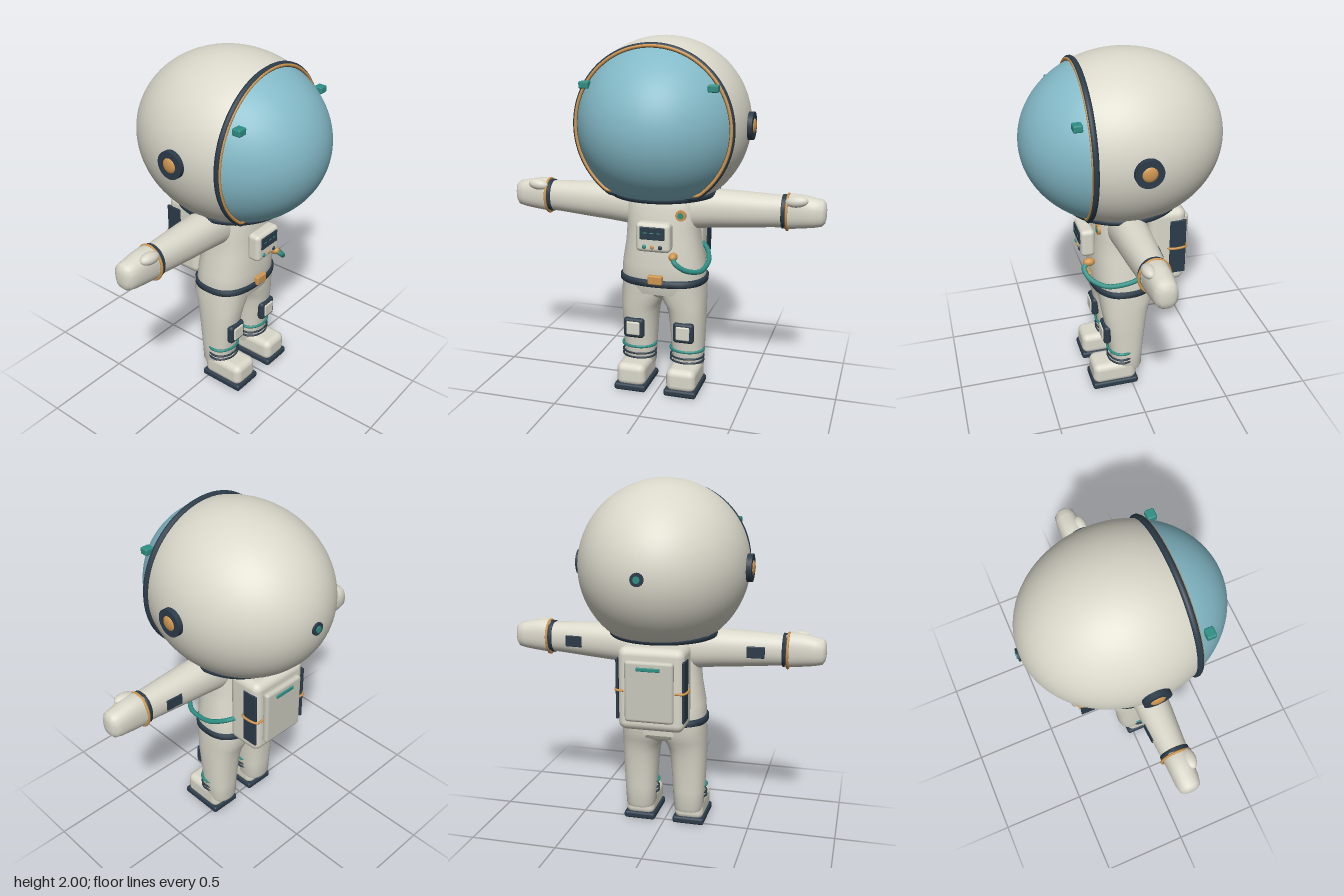
import * as THREE from 'three';
import { toCreasedNormals } from 'three/addons/utils/BufferGeometryUtils.js';
import { RoundedBoxGeometry } from 'three/addons/geometries/RoundedBoxGeometry.js';

export function createModel() {
  const root = new THREE.Group();
  root.name = 'astronaut';
  const mat = (name, color) => {
    const m = new THREE.MeshStandardMaterial({ color });
    m.name = name;
    return m;
  };
  const cream = mat('suitCream', 0xdad8ca);
  const grey = mat('panelGrey', 0xc9c8bc);
  const navy = mat('navyTrim', 0x2c3c4a);
  const teal = mat('tealAccent', 0x2f8f84);
  const orange = mat('orangeAccent', 0xcf9650);
  const blue = mat('visorBlue', 0x83b9c7);

  const add = (name, geo, material, x = 0, y = 0, z = 0) => {
    const m = new THREE.Mesh(geo, material);
    m.name = name;
    m.position.set(x, y, z);
    root.add(m);
    return m;
  };
  const box = (w, h, d, r) => new RoundedBoxGeometry(w, h, d, 3, r);
  const ball = (x, y, z) => new THREE.SphereGeometry(1, 24, 16).scale(x, y, z);
  const discX = (r, t) => new THREE.CylinderGeometry(r, r, t, 32).rotateZ(Math.PI / 2);
  const discZ = (r, t) => new THREE.CylinderGeometry(r, r, t, 24).rotateX(Math.PI / 2);
  const V = (x, y, z) => new THREE.Vector3(x, y, z);
  const tube = (pts, r, closed = false, n = 96) =>
    new THREE.TubeGeometry(new THREE.CatmullRomCurve3(pts, closed), n, r, 10, closed);

  // Closed loft through superellipse sections [t, uMin, uMax, vMin, vMax].
  // axis 'y': t=y, u=x, v=z.  axis 'x': t=x, u=z, v=y.  side -1 mirrors in x.
  function loft(rows, axis = 'y', side = 1, power = 2.5, n = 40) {
    const pos = [], idx = [];
    const put = (t, u, v) => (axis === 'y' ? pos.push(u * side, t, v) : pos.push(t * side, v, u));
    const tri = (a, b, c) => (side > 0 ? idx.push(a, b, c) : idx.push(a, c, b));
    const bend = (c) => Math.sign(c) * Math.abs(c) ** (2 / power);
    for (const [t, u0, u1, v0, v1] of rows) {
      for (let i = 0; i < n; i++) {
        const a = (i / n) * Math.PI * 2;
        put(t, (u0 + u1) / 2 + ((u1 - u0) / 2) * bend(Math.cos(a)),
          (v0 + v1) / 2 + ((v1 - v0) / 2) * bend(Math.sin(a)));
      }
    }
    for (let r = 0; r < rows.length - 1; r++) {
      for (let i = 0; i < n; i++) {
        const a = r * n + i, b = r * n + ((i + 1) % n);
        tri(a, a + n, b + n);
        tri(a, b + n, b);
      }
    }
    for (const [r, top] of [[0, false], [rows.length - 1, true]]) {
      const [t, u0, u1, v0, v1] = rows[r], c = pos.length / 3;
      put(t, (u0 + u1) / 2, (v0 + v1) / 2);
      for (let i = 0; i < n; i++) {
        const a = r * n + i, b = r * n + ((i + 1) % n);
        top ? tri(c, b, a) : tri(c, a, b);
      }
    }
    const g = new THREE.BufferGeometry();
    g.setAttribute('position', new THREE.Float32BufferAttribute(pos, 3));
    g.setIndex(idx);
    return toCreasedNormals(g, 0.9);
  }

  // Helmet shell and visor: one ellipsoid split at the rim, flat at the neck
  const CY = 1.53, BASE = 1.17, split = 1.11;
  const dome = (start, length, rows) => {
    const g = new THREE.SphereGeometry(1, 96, rows, 0, Math.PI * 2, start, length);
    g.rotateX(Math.PI / 2).scale(0.47, 0.47, 0.552).translate(0, CY, 0.006);
    const p = g.attributes.position;
    for (let i = 0; i < p.count; i++) p.setY(i, Math.max(p.getY(i), BASE));
    return toCreasedNormals(g, 0.5);
  };
  add('helmetShell', dome(split, Math.PI - split, 60), cream);
  add('visor', dome(0, split, 40), blue);
  const rim = (r, z, low) => Array.from({ length: 96 }, (_, i) => {
    const a = (i / 96) * Math.PI * 2;
    return V(r * Math.cos(a), Math.max(CY + r * Math.sin(a), low), z);
  });
  add('visorRim', tube(rim(0.426, 0.248, 1.174), 0.018, true, 160), navy);
  add('visorRimTrim', tube(rim(0.426, 0.26, 1.186), 0.009, true, 160), orange);
  add('neckRing', new THREE.TorusGeometry(0.29, 0.022, 12, 64).rotateX(Math.PI / 2)
    .scale(1, 1, 1.04), navy, 0, 1.162, 0.01);
  add('rearPort', discZ(0.035, 0.025), navy, 0, CY, -0.543);
  add('rearPortLight', discZ(0.018, 0.012), teal, 0, CY, -0.555);

  // Torso, belt and buckle
  add('torso', loft([
    [0.58, -0.235, 0.235, -0.15, 0.175], [0.65, -0.242, 0.242, -0.155, 0.195],
    [0.75, -0.235, 0.235, -0.145, 0.198], [0.87, -0.213, 0.213, -0.13, 0.192],
    [0.97, -0.205, 0.205, -0.115, 0.185], [1.08, -0.21, 0.21, -0.105, 0.18],
    [1.15, -0.2, 0.2, -0.09, 0.16], [1.18, -0.17, 0.17, -0.06, 0.13],
  ]), cream);
  add('belt', loft([
    [0.632, -0.243, 0.243, -0.158, 0.197], [0.64, -0.252, 0.252, -0.167, 0.206],
    [0.667, -0.252, 0.252, -0.167, 0.206], [0.675, -0.243, 0.243, -0.158, 0.197],
  ]), navy);
  add('buckle', box(0.082, 0.052, 0.034, 0.008), orange, 0, 0.68, 0.204);
  add('seatOfSuit', loft([
    [0.53, -0.12, 0.12, -0.09, 0.09], [0.56, -0.19, 0.19, -0.14, 0.14], [0.64, -0.23, 0.23, -0.155, 0.17],
  ]), cream);

  // Chest control box
  add('chestBox', box(0.195, 0.165, 0.08, 0.025), cream, 0, 0.935, 0.22);
  add('chestScreen', box(0.14, 0.07, 0.012, 0.004), navy, 0, 0.962, 0.261);
  for (const x of [-0.04, 0, 0.04]) add('screenMark', box(0.022, 0.005, 0.004, 0.001), teal, x, 0.965, 0.267);
  [teal, orange, navy].forEach((m, i) =>
    add('chestButton', ball(0.012, 0.012, 0.008), m, (i - 1) * 0.045, 0.885, 0.26));
  add('chestBadge', discZ(0.03, 0.016), orange, 0.137, 1.05, 0.173);
  add('chestBadgeCentre', discZ(0.017, 0.006), teal, 0.137, 1.05, 0.182);

  // Air hose from the chest to the backpack
  add('hose', tube([
    V(0.11, 0.825, 0.225), V(0.125, 0.805, 0.255), V(0.175, 0.762, 0.235), V(0.235, 0.735, 0.16),
    V(0.25, 0.735, 0.08), V(0.25, 0.755, -0.02), V(0.215, 0.795, -0.11), V(0.165, 0.82, -0.16),
  ], 0.014), teal);
  add('hoseConnector', ball(0.024, 0.024, 0.034), orange, 0.108, 0.828, 0.222);

  // Backpack
  add('backpack', box(0.37, 0.465, 0.215, 0.045), cream, 0, 0.893, -0.215);
  add('backpackPanel', box(0.27, 0.34, 0.04, 0.018), grey, 0, 0.892, -0.333);
  add('backpackLight', box(0.13, 0.02, 0.012, 0.004), teal, 0, 1.02, -0.355);

  for (const s of [1, -1]) {
    // Helmet side parts
    add('earCup', discX(0.076, 0.05), navy, s * 0.468, CY, -0.006);
    add('earCap', ball(0.016, 0.042, 0.042), orange, s * 0.489, CY, -0.006);
    add('visorLamp', box(0.055, 0.038, 0.05, 0.008), teal, s * 0.345, 1.755, 0.318);

    // Backpack side plate and strap
    add('backpackSidePlate', box(0.014, 0.34, 0.095, 0.005), navy, s * 0.184, 0.893, -0.273);
    add('backpackStrap', tube([
      V(s * 0.178, 0.89, -0.215), V(s * 0.195, 0.89, -0.23), V(s * 0.196, 0.89, -0.3),
      V(s * 0.18, 0.89, -0.328), V(s * 0.14, 0.89, -0.33),
    ], 0.007, false, 32), orange);

    // Arm
    add('arm', loft([
      [0.1, -0.075, 0.13, 0.95, 1.17], [0.2, -0.075, 0.13, 0.952, 1.178], [0.3, -0.07, 0.125, 0.963, 1.18],
      [0.45, -0.062, 0.118, 0.975, 1.176], [0.6, -0.052, 0.107, 0.988, 1.17], [0.7, -0.045, 0.1, 0.995, 1.165],
    ], 'x', s, 2.2), cream);
    add('wristBand', loft([
      [0.665, -0.05, 0.104, 0.99, 1.17], [0.668, -0.053, 0.108, 0.986, 1.174],
      [0.692, -0.053, 0.108, 0.986, 1.174], [0.695, -0.05, 0.104, 0.99, 1.17],
    ], 'x', s, 2.1), navy);
    add('wristRing', new THREE.TorusGeometry(1, 0.085, 10, 48).rotateY(Math.PI / 2)
      .scale(0.085, 0.097, 0.082), orange, s * 0.695, 1.078, 0.027);
    add('forearmPatch', box(0.1, 0.065, 0.012, 0.005), navy, s * 0.525, 1.075, -0.054)
      .rotation.y = -s * 0.06;

    // Glove with thumb
    add('glove', loft([
      [0.68, -0.045, 0.098, 0.985, 1.172], [0.72, -0.044, 0.098, 0.988, 1.18], [0.78, -0.043, 0.095, 0.995, 1.175],
      [0.84, -0.04, 0.09, 1.003, 1.162], [0.88, -0.033, 0.082, 1.012, 1.155], [0.895, -0.015, 0.065, 1.03, 1.14],
      [0.9, 0.005, 0.045, 1.055, 1.11],
    ], 'x', s, 2.4), cream);
    add('thumb', ball(0.062, 0.032, 0.035), cream, s * 0.745, 1.148, 0.076).rotation.z = s * 0.12;

    // Leg
    add('leg', loft([
      [0.09, 0.065, 0.225, -0.065, 0.1], [0.11, 0.058, 0.232, -0.073, 0.11], [0.22, 0.052, 0.238, -0.078, 0.118],
      [0.36, 0.043, 0.243, -0.092, 0.138], [0.44, 0.035, 0.245, -0.102, 0.15], [0.49, 0.022, 0.245, -0.112, 0.158],
      [0.53, -0.004, 0.245, -0.125, 0.163], [0.58, -0.02, 0.244, -0.145, 0.17], [0.64, -0.02, 0.24, -0.15, 0.175],
    ], 'y', s, 2.4), cream);
    add('kneePad', box(0.122, 0.12, 0.045, 0.02), navy, s * 0.147, 0.358, 0.142);
    add('kneePlate', box(0.08, 0.08, 0.02, 0.008), cream, s * 0.147, 0.36, 0.162);
    const shinBand = (name, y, r, m) => add(name, new THREE.TorusGeometry(1, r, 8, 48)
      .rotateX(Math.PI / 2).scale(0.097, 0.1, 0.078), m, s * 0.145, y, 0.051);
    shinBand('shinBandTeal', 0.232, 0.085, teal);
    shinBand('shinBandUpper', 0.19, 0.06, navy);
    shinBand('shinBandLower', 0.165, 0.06, navy);

    // Boot
    add('boot', box(0.172, 0.135, 0.26, 0.04), cream, s * 0.148, 0.092, 0.102);
    add('sole', box(0.188, 0.042, 0.275, 0.015), navy, s * 0.148, 0.021, 0.102);
  }
  return root;
}
